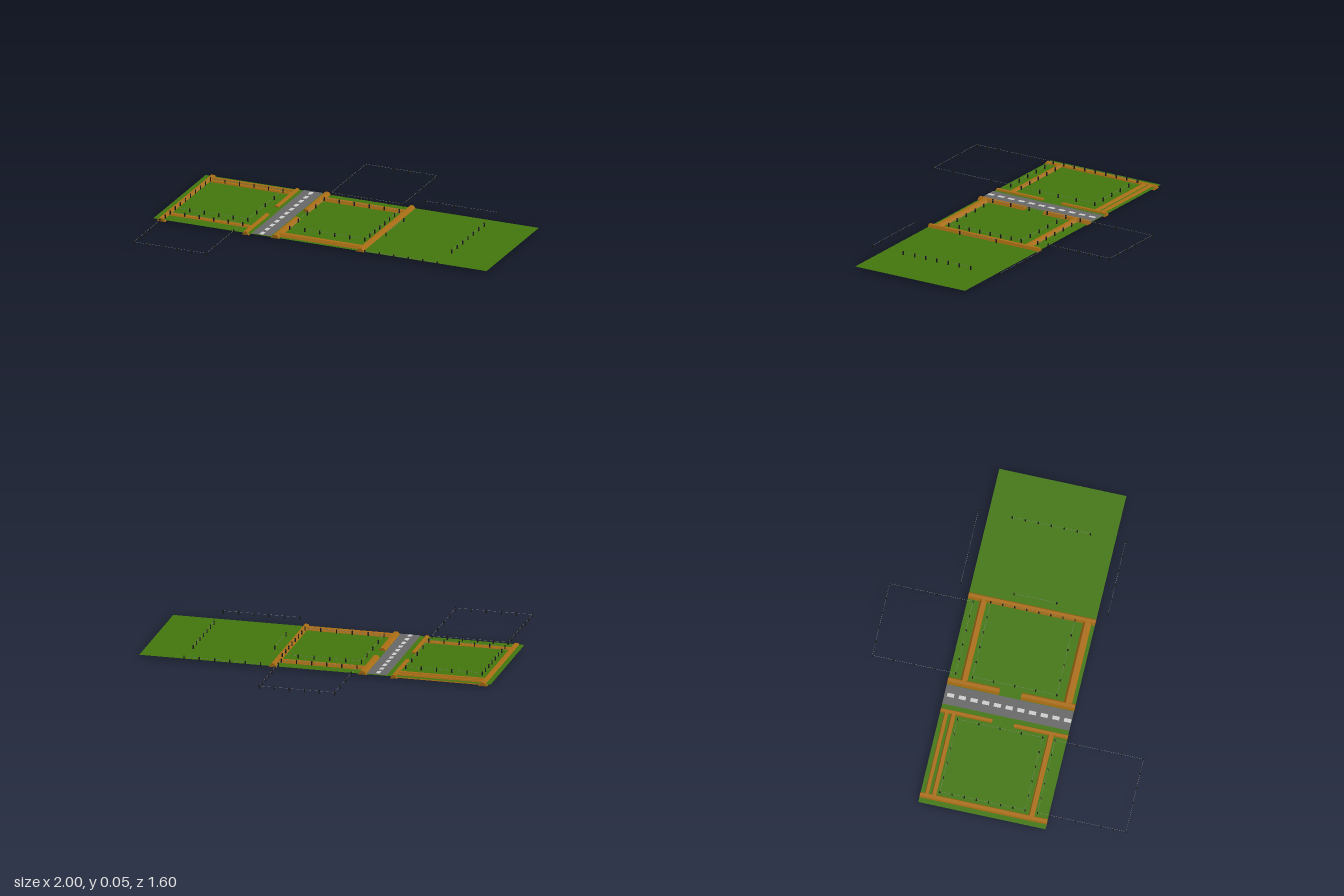
import * as THREE from 'three';

const mat = (color) => new THREE.MeshStandardMaterial({ color, side: THREE.DoubleSide, flatShading: true });
const grass = mat(0x41750c), earth = mat(0xa86c14), asphalt = mat(0x666666);
const paint = mat(0xdddddd), dark = mat(0x1c1a1a), wireMat = mat(0x888888);

export function createModel() {
  const root = new THREE.Group();

  const add = (name, geometry, material, parent = root) => {
    const m = new THREE.Mesh(geometry, material);
    m.name = name;
    parent.add(m);
    return m;
  };

  // flat rectangle on the ground
  const slab = (name, x0, x1, z0, z1, y, material, parent) => {
    const g = new THREE.PlaneGeometry(x1 - x0, z1 - z0).rotateX(-Math.PI / 2);
    add(name, g, material, parent).position.set((x0 + x1) / 2, y, (z0 + z1) / 2);
  };

  const Z0 = -0.365, Z1 = 0.352;
  slab('ground', -1, 1, Z0, Z1, 0.012, grass);

  // road with a dashed centre line
  slab('road', -0.41, -0.295, Z0, Z1, 0.016, asphalt);
  const dashes = new THREE.Group();
  dashes.name = 'centreLine';
  root.add(dashes);
  for (let i = 0; i < 11; i++) {
    const z = Z0 + 0.015 + i * 0.066;
    slab('dash', -0.365, -0.343, z, z + 0.04, 0.0175, paint, dashes);
  }

  // earth banks: trapezoid section swept along z, or along x when alongX is set
  const bank = (name, centre, width, from, to, y, alongX) => {
    const h = width / 2, t = h * 0.4;
    const s = new THREE.Shape([[-h, 0], [h, 0], [t, 0.02], [-t, 0.02]].map((p) => new THREE.Vector2(...p)));
    const g = new THREE.ExtrudeGeometry(s, { depth: to - from, bevelEnabled: false });
    const m = add(name, g, earth);
    if (alongX) {
      m.rotation.y = Math.PI / 2;
      m.position.set(from, y, centre);
    } else m.position.set(centre, y, from);
  };
  const GATE0 = -0.073, GATE1 = 0.05;
  bank('leftOuterBank', -0.955, 0.05, Z0, Z1, 0, false);
  bank('leftRoadBankRear', -0.448, 0.04, Z0, GATE0, 0, false);
  bank('leftRoadBankFront', -0.448, 0.04, GATE1, Z1, 0, false);
  bank('leftRearBank', -0.29, 0.04, -0.95, -0.44, 0, true);
  bank('leftRearOuterBank', -0.33, 0.035, -0.95, -0.44, 0, true);
  bank('leftFrontBank', 0.26, 0.05, -0.95, -0.44, 0, true);
  bank('rightRoadBankRear', -0.27, 0.05, Z0, GATE0, 0.007, false);
  bank('rightRoadBankFront', -0.27, 0.05, GATE1, Z1, 0.007, false);
  bank('rightOuterBank', 0.24, 0.045, Z0, Z1, 0.007, false);
  bank('rightRearBank', -0.278, 0.045, -0.27, 0.24, 0.007, true);
  bank('rightFrontBank', 0.308, 0.055, -0.27, 0.24, 0.007, true);

  // fences: rows of small posts joined by a thin wire
  const postGeo = new THREE.BoxGeometry(0.006, 0.022, 0.006);
  const fenceRow = (parent, x0, z0, x1, z1, count) => {
    for (let i = 0; i < count; i++) {
      const k = i / (count - 1);
      add('post', postGeo, dark, parent).position.set(x0 + (x1 - x0) * k, 0.036, z0 + (z1 - z0) * k);
    }
    const wire = add('wire', new THREE.BoxGeometry(
      Math.max(Math.abs(x1 - x0), 0.001), 0.001, Math.max(Math.abs(z1 - z0), 0.001)), wireMat, parent);
    wire.position.set((x0 + x1) / 2, 0.041, (z0 + z1) / 2);
  };
  const fence = (name, x0, x1, z0, z1, leftCount, rightCount) => {
    const f = new THREE.Group();
    f.name = name;
    root.add(f);
    fenceRow(f, x0, z0, x1, z0, 6);
    fenceRow(f, x0, z1, x1, z1, 6);
    if (leftCount) fenceRow(f, x0, z0, x0, z1, leftCount);
    if (rightCount) fenceRow(f, x1, z0, x1, z1, rightCount);
  };
  fence('leftFieldFence', -0.925, -0.49, -0.26, 0.22, 8, 5);
  fence('frontPaddockFence', -0.925, -0.49, 0.29, 0.79, 8, 5);
  fence('rightFieldFence', -0.23, 0.22, -0.235, 0.24, 5, 8);
  fence('rearPaddockFence', -0.23, 0.2, -0.8, -0.33, 5, 8);
  fence('openFieldFence', 0.295, 0.73, -0.42, 0.41, 0, 0);

  // inner runs of the open field fence
  const inner = new THREE.Group();
  inner.name = 'openFieldInnerFence';
  root.add(inner);
  fenceRow(inner, 0.73, -0.23, 0.73, 0.21, 7);
  fenceRow(inner, 0.295, -0.12, 0.295, 0.12, 2);

  return root;
}
